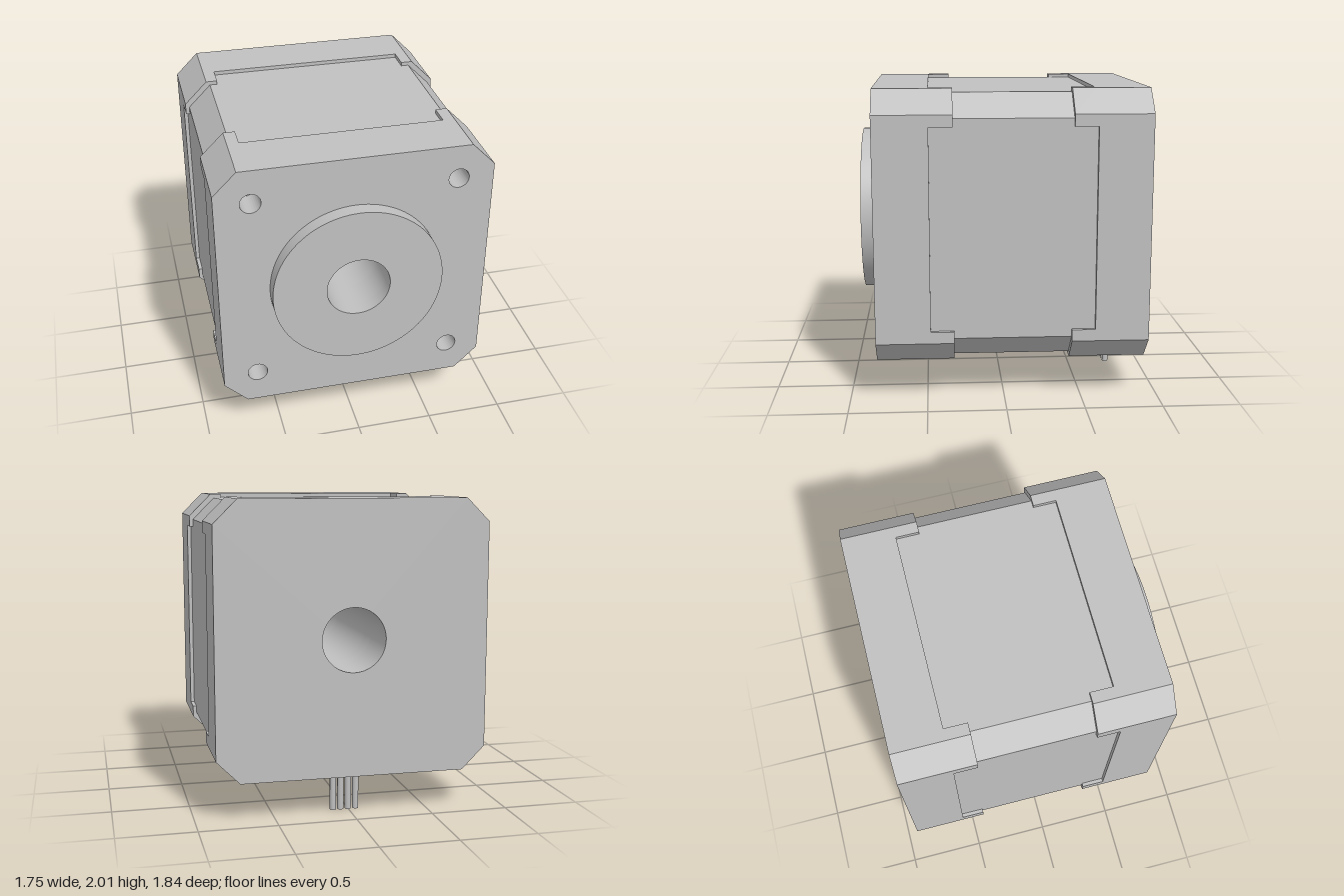
import * as THREE from 'three';
import { toCreasedNormals } from 'three/addons/utils/BufferGeometryUtils.js';

const CY = 1.13;      // height of the shaft axis
const BORE = 0.205;
const HOLE = 0.65;    // screw hole offset from the axis
const CHAMFER = 0.15;

// Repeats the outline of the top side around all four sides
function fourSided(side) {
  const pts = [];
  for (let k = 0; k < 4; k++) {
    for (const [x, y] of side) {
      pts.push(new THREE.Vector2(x, y).rotateAround(new THREE.Vector2(), k * Math.PI / 2));
    }
  }
  return new THREE.Shape(pts);
}

function chamferedSquare(h) {
  return fourSided([[h - CHAMFER, h], [CHAMFER - h, h]]);
}

// Chamfered square with a shallow notch in the middle of every side
function notchedSquare() {
  return fourSided([[0.725, 0.875], [0.65, 0.875], [0.65, 0.85], [-0.65, 0.85], [-0.65, 0.875], [-0.725, 0.875]]);
}

function addHole(shape, x, y, r) {
  shape.holes.push(new THREE.Path().absarc(x, y, r, 0, Math.PI * 2, true));
}

export function createModel() {
  const model = new THREE.Group();
  model.name = 'stepperMotor';
  const metal = new THREE.MeshStandardMaterial({ color: 0xc0c0c0 });
  metal.name = 'light grey metal';

  // Extrudes an outline, pierced by the shaft bore, from z0 to z1
  function slab(name, shape, z0, z1) {
    addHole(shape, 0, 0, BORE);
    const geo = new THREE.ExtrudeGeometry(shape, { depth: z1 - z0, bevelEnabled: false, curveSegments: 48 });
    const mesh = new THREE.Mesh(toCreasedNormals(geo, 0.5), metal);
    mesh.name = name;
    mesh.position.set(0, CY, z0);
    model.add(mesh);
  }

  // Front cap: plate with four blind screw holes, solid backing and notched rim
  const plate = chamferedSquare(0.875);
  for (const x of [-HOLE, HOLE]) for (const y of [-HOLE, HOLE]) addHole(plate, x, y, 0.065);
  slab('frontPlate', plate, 0.625, 0.825);
  slab('frontCap', chamferedSquare(0.875), 0.475, 0.625);
  slab('frontCapRim', notchedSquare(), 0.325, 0.475);

  // Slightly narrower core between the caps
  slab('core', chamferedSquare(0.85), -0.425, 0.325);

  // Rear cap
  slab('rearCapRim', notchedSquare(), -0.575, -0.425);
  slab('rearCap', chamferedSquare(0.875), -0.92, -0.575);

  // Round centring boss on the front
  slab('frontBoss', new THREE.Shape().absarc(0, 0, 0.55, 0, Math.PI * 2, false), 0.825, 0.92);

  // Four lead wires under the rear cap
  const wireGeo = new THREE.CylinderGeometry(0.02, 0.02, 0.28, 20);
  for (let i = 0; i < 4; i++) {
    const wire = new THREE.Mesh(wireGeo, metal);
    wire.name = 'leadWire' + (i + 1);
    wire.position.set(-0.05 + i * 0.05, 0.14, -0.77);
    model.add(wire);
  }
  return model;
}
